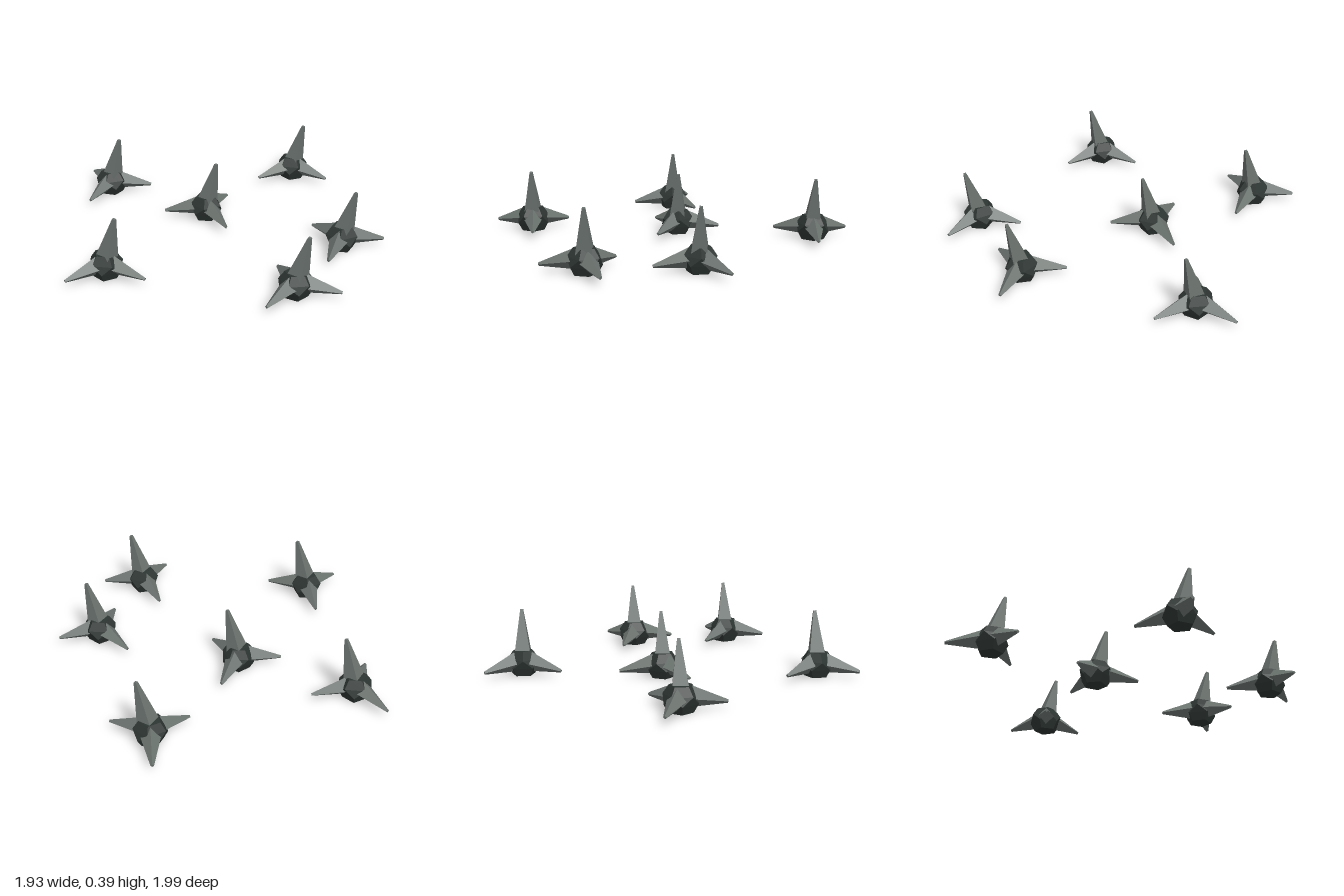
import * as THREE from 'three';
import { ConvexGeometry } from 'three/addons/geometries/ConvexGeometry.js';

const steel = new THREE.MeshStandardMaterial({ color: 0x6b736f, flatShading: true });
steel.name = 'grey steel';
const iron = new THREE.MeshStandardMaterial({ color: 0x2e3633, flatShading: true });
iron.name = 'dark iron';

// four-sided tapered spike between two points
function spike(name, from, to, baseRadius, tipRadius) {
  const a = new THREE.Vector3(...from), b = new THREE.Vector3(...to);
  const dir = b.clone().sub(a);
  const geo = new THREE.CylinderGeometry(tipRadius, baseRadius, dir.length(), 4);
  const mesh = new THREE.Mesh(geo, steel);
  mesh.name = name;
  mesh.position.copy(a).add(b).multiplyScalar(0.5);
  mesh.quaternion.setFromUnitVectors(new THREE.Vector3(0, 1, 0), dir.normalize());
  return mesh;
}

// twelve-faced core standing on a flat pentagon
function coreGeometry() {
  const rings = [[0.072, 0, 0], [0.1, 0.05, 0], [0.1, 0.1, 0.5], [0.065, 0.15, 0.5]];
  const points = [];
  for (const [r, y, shift] of rings) {
    for (let i = 0; i < 5; i++) {
      const t = ((i + shift) / 5) * Math.PI * 2;
      points.push(new THREE.Vector3(r * Math.cos(t), y, r * Math.sin(t)));
    }
  }
  return new ConvexGeometry(points);
}

function caltrop(x, z, degrees) {
  const group = new THREE.Group();
  group.name = 'caltrop';
  group.position.set(x, 0, z);

  // core and three ground spikes turn together
  const base = new THREE.Group();
  base.name = 'base';
  base.rotation.y = -THREE.MathUtils.degToRad(degrees);
  const core = new THREE.Mesh(coreGeometry(), iron);
  core.name = 'core';
  base.add(core);
  for (let i = 0; i < 3; i++) {
    const arm = new THREE.Group();
    arm.name = 'groundSpike';
    arm.rotation.y = (i * Math.PI * 2) / 3;
    arm.add(spike('groundSpikeBlade', [0.04, 0.085, 0], [0.262, 0.044, 0], 0.064, 0.01));
    base.add(arm);
  }

  // upright spike leans the same way on every caltrop
  group.add(base, spike('upperSpike', [0.003, 0.095, 0.003], [0.06, 0.388, 0.047], 0.072, 0.012));
  return group;
}

export function createModel() {
  const model = new THREE.Group();
  model.name = 'scatteredCaltrops';
  // x, z and turn of each caltrop
  const layout = [
    [-0.65, -0.663, 4.7], [0.595, -0.74, 39.9], [-0.067, -0.203, 68.4],
    [0.7, 0.305, 0], [-0.727, 0.455, 34.5], [0.318, 0.81, 18],
  ];
  for (const place of layout) model.add(caltrop(...place));
  return model;
}
